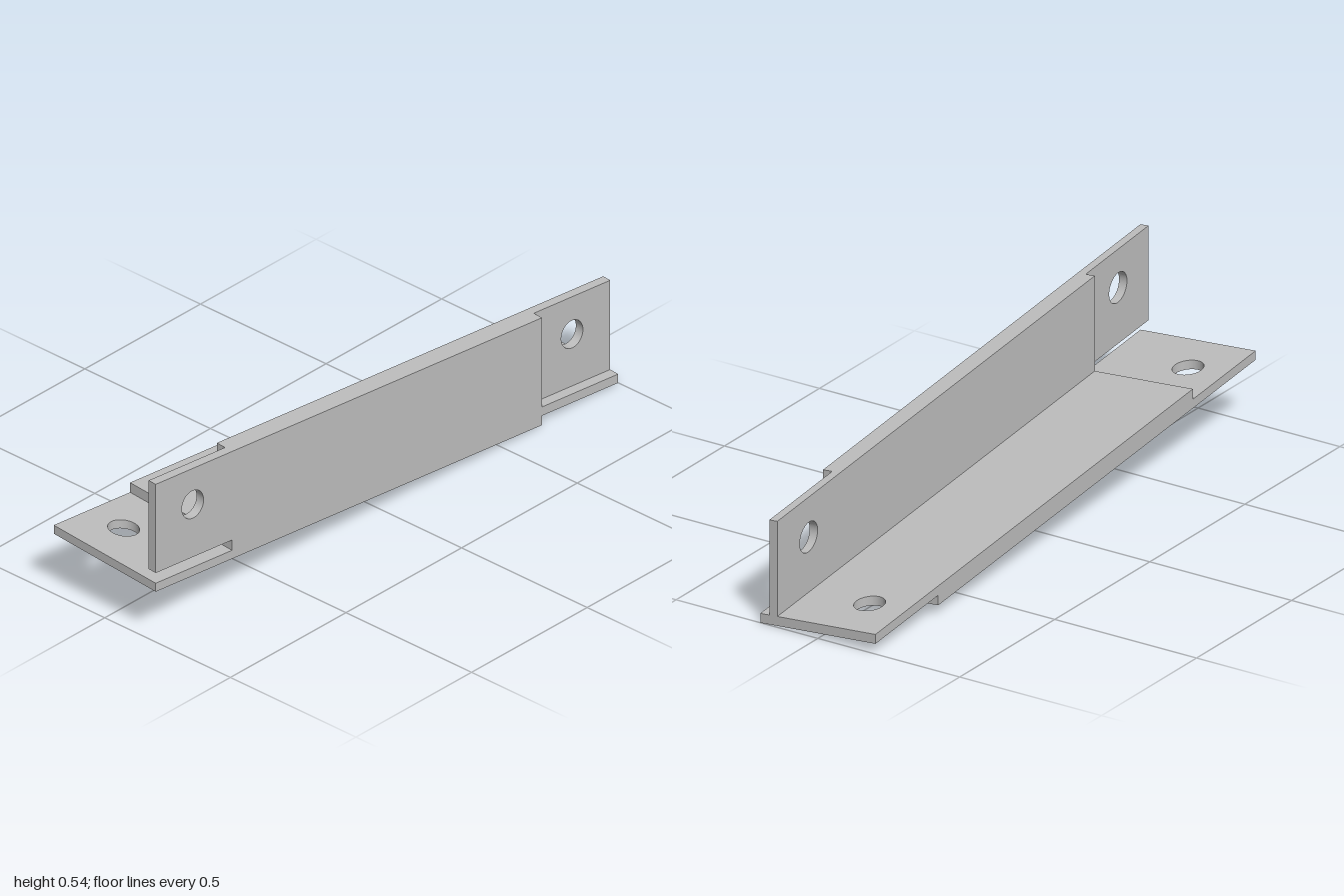
import * as THREE from 'three';

// Key dimensions before the slant is applied
const W = 0.203, END = 1, LAP = 0.67, HOLE = 0.047;
const Y_BOTTOM = 0.086, Y_MID_LOW = 0.115, Y_MID_HIGH = 0.118, Y_LEDGE = 0.148, Y_TOP = 0.453;
const X_INNER = 0.143, X_MID_IN = 0.171, X_MID_OUT = 0.175;

// The whole bar is slanted: heights rise to the front and fall towards +x
const slant = new THREE.Matrix4().set(
  1, 0, 0, 0,
  -0.081, 1, 0.102, 0,
  0, 0, 1, 0,
  0, 0, 0, 1
);

function rectangle(u0, v0, u1, v1) {
  return new THREE.Shape([[u0, v0], [u1, v0], [u1, v1], [u0, v1]].map(p => new THREE.Vector2(...p)));
}

function extrude(shape, depth) {
  return new THREE.ExtrudeGeometry(shape, { depth, bevelEnabled: false, curveSegments: 40 });
}

function drill(shape, u, v) {
  const hole = new THREE.Path();
  hole.absarc(u, v, HOLE, 0, Math.PI * 2, true);
  shape.holes.push(hole);
  return shape;
}

export function createModel() {
  const group = new THREE.Group();
  group.name = 'lappedAngleBar';
  const steel = new THREE.MeshStandardMaterial({ color: 0xbebebe });
  steel.name = 'grey steel';

  const add = (name, geometry) => {
    const mesh = new THREE.Mesh(geometry.applyMatrix4(slant), steel);
    mesh.name = name;
    group.add(mesh);
  };

  // Horizontal end plate with a bolt hole
  const basePlate = (name, z0, z1, y0, y1, holeZ) => {
    const shape = drill(rectangle(-W, -z1, W, -z0), -0.072, -holeZ);
    add(name, extrude(shape, y1 - y0).rotateX(-Math.PI / 2).translate(0, y0, 0));
  };

  // Upright end plate with a bolt hole
  const uprightPlate = (name, z0, z1, x0, x1, y0, holeZ, holeY) => {
    const shape = drill(rectangle(-z1, y0, -z0, Y_TOP), -holeZ, holeY);
    add(name, extrude(shape, x1 - x0).rotateY(Math.PI / 2).translate(x0, 0, 0));
  };

  // Full-thickness L-shaped middle
  const section = new THREE.Shape([
    [-W, Y_BOTTOM], [W, Y_BOTTOM], [W, Y_TOP],
    [X_INNER, Y_TOP], [X_INNER, Y_LEDGE], [-W, Y_LEDGE],
  ].map(p => new THREE.Vector2(...p)));
  add('middleAngle', extrude(section, 2 * LAP).translate(0, 0, -LAP));

  // Front lap: outer halves, with an open slot between them
  basePlate('frontBasePlate', LAP, END, Y_BOTTOM, Y_MID_LOW, 0.84);
  uprightPlate('frontUprightPlate', LAP, END, X_MID_OUT, W, 0.15, 0.84, 0.33);

  // Back lap: inner halves, leaving a narrow ledge outside the upright
  basePlate('backBasePlate', -END, -LAP, Y_MID_HIGH, Y_LEDGE, -0.835);
  uprightPlate('backUprightPlate', -END, -LAP, X_INNER, X_MID_IN, Y_LEDGE, -0.835, 0.325);

  return group;
}
